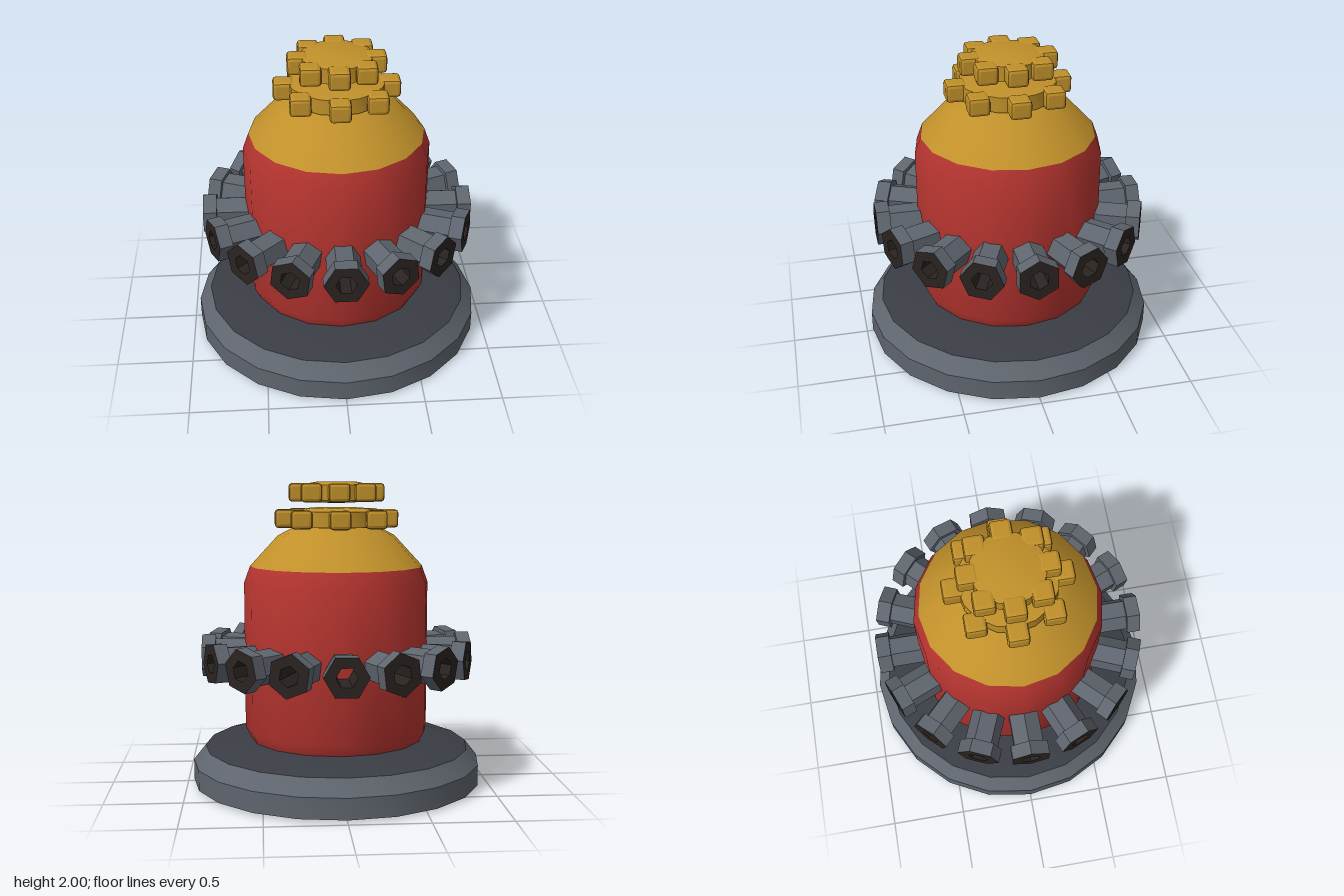
import * as THREE from 'three';
import { toCreasedNormals } from 'three/addons/utils/BufferGeometryUtils.js';
import { RoundedBoxGeometry } from 'three/addons/geometries/RoundedBoxGeometry.js';

const mat = (color) => new THREE.MeshStandardMaterial({ color });

// Turned solid: profile runs upwards on the outside
function turned(points, sides, crease = 0.6) {
  const profile = points.map(([r, y]) => new THREE.Vector2(r, y));
  return toCreasedNormals(new THREE.LatheGeometry(profile, sides), crease);
}

function add(parent, name, geometry, material) {
  const mesh = new THREE.Mesh(geometry, material);
  mesh.name = name;
  parent.add(mesh);
  return mesh;
}

export function createModel() {
  const model = new THREE.Group();
  model.name = 'barrelTurret';
  const red = mat(0xb83530);
  const gold = mat(0xc0902a);
  const grey = mat(0x5f656e);
  const slate = mat(0x3a3d44);
  const black = mat(0x2a2421);

  // Base: bevelled rim, dark deck and underside
  const base = new THREE.Group();
  base.name = 'base';
  model.add(base);
  add(base, 'baseRim', turned([[0.96, 0.015], [0.96, 0.15], [0.88, 0.25]], 20), grey);
  add(base, 'baseDeck', turned([[0.88, 0.25], [0.67, 0.3], [0, 0.3]], 20), slate);
  add(base, 'baseUnderside', turned([[0, 0], [0.96, 0.015]], 20), slate);

  // Body and domed cap
  add(model, 'body', turned([[0.57, 0.29], [0.61, 0.37], [0.61, 1.34], [0.57, 1.45]], 16), red);
  add(model, 'dome', turned([[0.57, 1.45], [0.385, 1.65], [0.27, 1.71], [0, 1.73]], 16), gold);

  // Ring of hollow six-sided barrels
  const outside = turned([[0.11, 0.5], [0.11, 0.8], [0.14, 0.8], [0.14, 0.89]], 6, 0.3);
  const mouth = turned([[0.14, 0.89], [0.066, 0.89], [0.066, 0.5]], 6, 0.3);
  for (const g of [outside, mouth]) g.rotateY(Math.PI / 2);
  const up = new THREE.Vector3(0, 1, 0);
  for (let i = 0; i < 16; i++) {
    const a = (i * Math.PI) / 8;
    const barrel = new THREE.Group();
    barrel.name = 'barrel';
    barrel.position.y = 0.858;
    barrel.quaternion.setFromUnitVectors(up, new THREE.Vector3(Math.sin(a), 0, Math.cos(a)));
    add(barrel, 'barrelTube', outside, grey);
    add(barrel, 'barrelMouth', mouth, black);
    model.add(barrel);
  }

  // Two stacked cogs, each a rounded hub with eight square teeth
  const toothGeo = toCreasedNormals(new RoundedBoxGeometry(0.135, 0.12, 0.135, 1, 0.022), 0.3);
  function cog(name, y, hubRadius, toothRadius) {
    const group = new THREE.Group();
    group.name = name;
    group.position.y = y;
    const r = hubRadius;
    add(group, 'cogHub', turned([[0, -0.07], [r * 0.55, -0.065], [r, -0.05], [r, 0.05],
      [r * 0.55, 0.07], [0, 0.07]], 16), gold);
    for (let i = 0; i < 8; i++) {
      const a = (i * Math.PI) / 4;
      const tooth = add(group, 'cogTooth', toothGeo, gold);
      tooth.position.set(Math.sin(a) * toothRadius, 0, Math.cos(a) * toothRadius);
    }
    model.add(group);
  }
  cog('lowerCog', 1.76, 0.31, 0.337);
  cog('upperCog', 1.93, 0.23, 0.245);

  return model;
}
